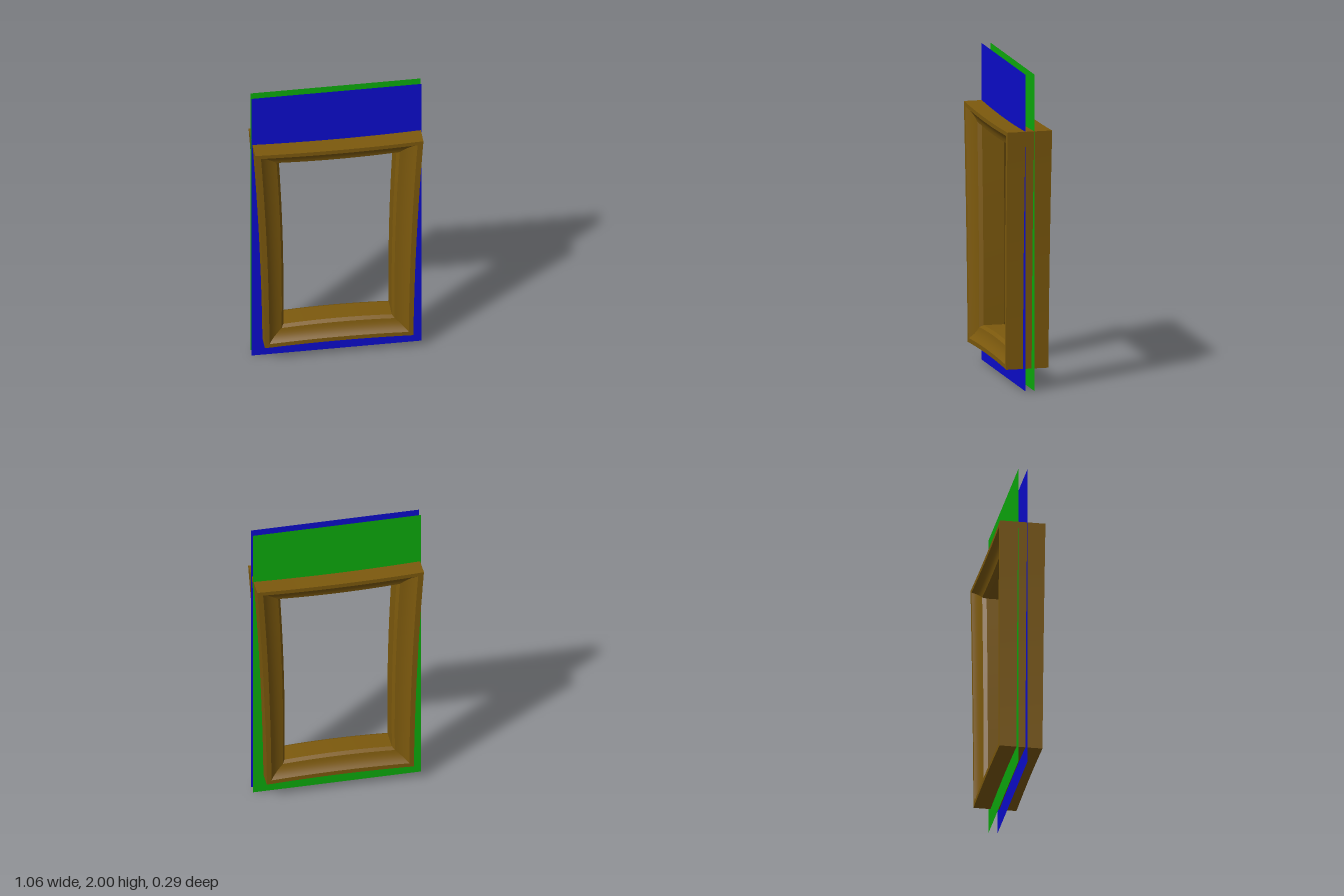
import * as THREE from 'three';
import { toCreasedNormals } from 'three/addons/utils/BufferGeometryUtils.js';

// Frame corners, counterclockwise seen from the front
const OUTER = [[-0.465, 0.13], [0.465, 0.13], [0.527, 1.64], [-0.527, 1.64]];
const INNER = [[-0.34, 0.255], [0.34, 0.255], [0.368, 1.522], [-0.368, 1.522]];
const STEPS = 12;
const BOW = 0.011;

// Front half of the moulding: [0 outer .. 1 inner, depth]; rim, cove, bevel, jamb
const cove = new THREE.QuadraticBezierCurve(
  new THREE.Vector2(0.23, 0.143), new THREE.Vector2(0.48, 0.105), new THREE.Vector2(0.89, 0.095));
const half = [[0, 0.143], ...cove.getPoints(6).map(p => [p.x, p.y]), [1, 0.07]];
const PROFILE = [...half, ...half.map(([t, z]) => [t, -z]).reverse()];

const mix = (a, b, t) => a + (b - a) * t;

// Point on frame side k, s along the side, t from outer to inner edge
function framePoint(k, s, t) {
  const n = (k + 1) % 4;
  const corner = i => [0, 1].map(c => mix(OUTER[i][c], INNER[i][c], t));
  const a = corner(k), b = corner(n);
  const dx = b[0] - a[0], dy = b[1] - a[1], len = Math.hypot(dx, dy);
  const bow = BOW * 4 * s * (1 - s); // sides bend gently toward the opening
  return [mix(a[0], b[0], s) - dy / len * bow, mix(a[1], b[1], s) + dx / len * bow];
}

// One mitred member of the frame, swept along its bowed side
function memberGeometry(k) {
  const pos = [], index = [], m = PROFILE.length;
  for (let i = 0; i <= STEPS; i++) {
    for (const [t, z] of PROFILE) {
      const [x, y] = framePoint(k, i / STEPS, t);
      pos.push(x, y, z * mix(0.945, 1, (y - 0.13) / 1.51)); // thinner toward the bottom
    }
  }
  for (let i = 0; i < STEPS; i++) {
    for (let j = 0; j < m; j++) {
      const a = i * m + j, b = i * m + (j + 1) % m;
      index.push(a, a + m, b, b, a + m, b + m);
    }
  }
  const g = new THREE.BufferGeometry();
  g.setAttribute('position', new THREE.Float32BufferAttribute(pos, 3));
  g.setIndex(index);
  return toCreasedNormals(g, 0.4);
}

// Thin wall sheet with an opening hidden inside the frame
function sheetGeometry() {
  const w = 0.532;
  const shape = new THREE.Shape([[-w, 0], [w, 0], [w, 2], [-w, 2]].map(p => new THREE.Vector2(...p)));
  const hole = [];
  for (let k = 0; k < 4; k++) {
    for (let i = 0; i < STEPS; i++) hole.push(new THREE.Vector2(...framePoint(k, i / STEPS, 0.4)));
  }
  shape.holes.push(new THREE.Path(hole));
  return new THREE.ShapeGeometry(shape);
}

export function createModel() {
  const model = new THREE.Group();

  // Wooden frame
  const wood = new THREE.MeshStandardMaterial({ color: 0x7c590d });
  const frame = new THREE.Group();
  frame.name = 'windowFrame';
  ['sill', 'leftJamb', 'head', 'rightJamb'].forEach((name, k) => {
    const member = new THREE.Mesh(memberGeometry(k), wood);
    member.name = name;
    frame.add(member);
  });
  model.add(frame);

  // Front and back wall sheets
  const sheet = sheetGeometry();
  for (const [name, color, z] of [['frontWall', 0x0c0ccc, 0.028], ['backWall', 0x0caa0c, -0.028]]) {
    const wall = new THREE.Mesh(sheet, new THREE.MeshStandardMaterial({ color, side: THREE.DoubleSide }));
    wall.name = name;
    wall.position.z = z;
    model.add(wall);
  }
  return model;
}
